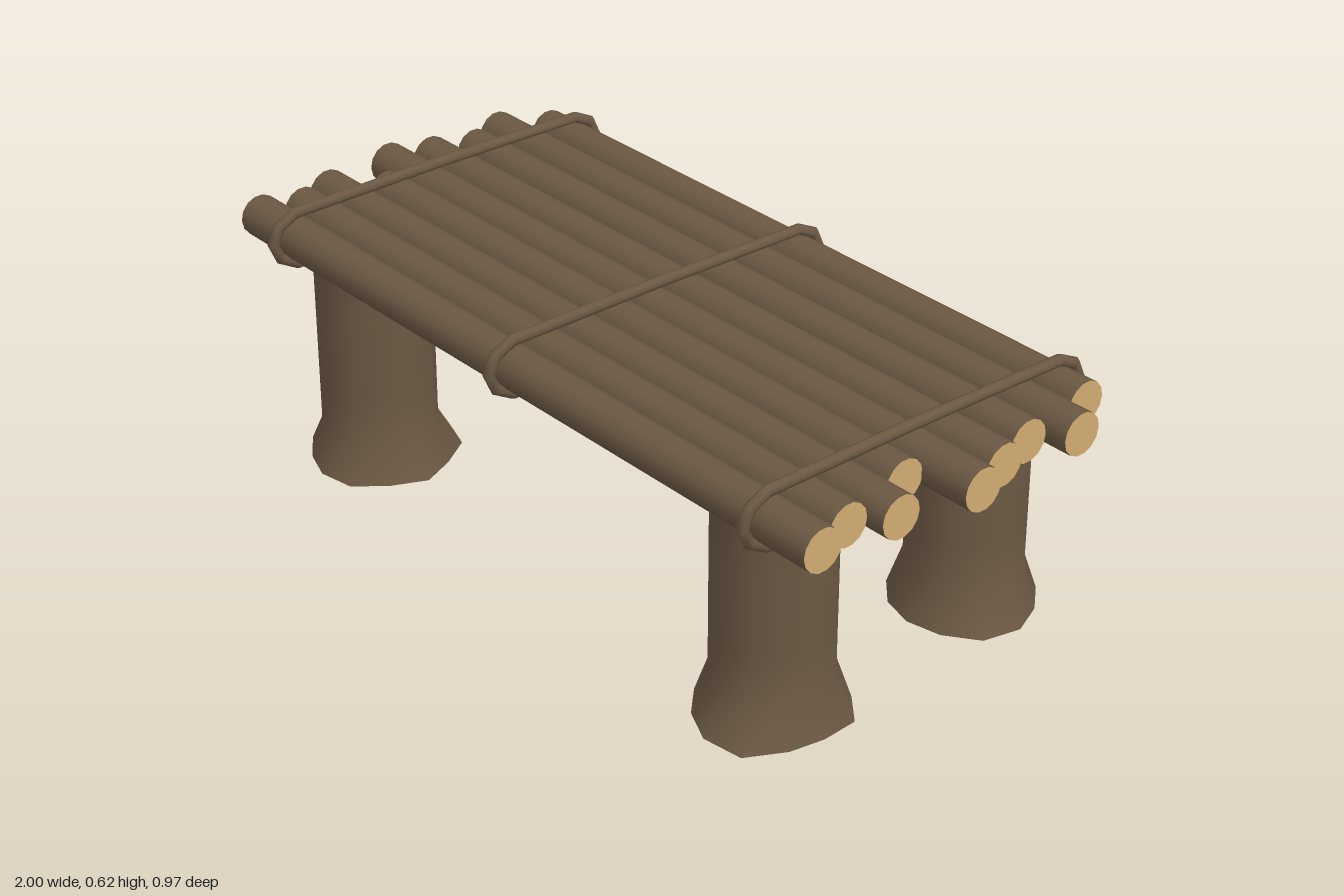
import * as THREE from 'three';
import { toCreasedNormals } from 'three/addons/utils/BufferGeometryUtils.js';

export function createModel() {
  const model = new THREE.Group();
  model.name = 'logTable';
  const mat = (name, color) => {
    const m = new THREE.MeshStandardMaterial({ color });
    m.name = name;
    return m;
  };
  const bark = mat('bark', 0x6b5843);
  const cutWood = mat('cutWood', 0xd0ab70);
  const add = (name, geometry, material) => {
    const mesh = new THREE.Mesh(geometry, material);
    mesh.name = name;
    model.add(mesh);
    return mesh;
  };

  // Table top: a row of logs of uneven length, [z, left end, right end]
  [
    [-0.404, -0.90, 0.89], [-0.302, -0.975, 0.975], [-0.198, -0.93, 0.925],
    [-0.092, -0.965, 0.96], [0.008, -1, 1], [0.104, -0.875, 0.875],
    [0.205, -0.97, 0.97], [0.304, -0.93, 0.925], [0.404, -0.96, 0.96],
  ].forEach(([z, x0, x1], i) => {
    const geo = new THREE.CylinderGeometry(0.05, 0.05, x1 - x0, 14);
    geo.rotateZ(-Math.PI / 2);
    add('topLog' + (i + 1), geo, [bark, cutWood, cutWood])
      .position.set((x0 + x1) / 2, 0.541, z);
  });

  // Legs: straight trunks whose lowest ring flares to an uneven root outline
  const legGeometry = (radii) => {
    const n = radii.length;
    const geo = new THREE.CylinderGeometry(0.136, 0.136, 0.5, n, 5);
    geo.translate(0, 0.25, 0);
    const p = geo.attributes.position;
    for (let i = 0; i < p.count; i++) {
      const x = p.getX(i), z = p.getZ(i);
      if (p.getY(i) > 0.01 || Math.hypot(x, z) < 0.01) continue;
      const k = Math.round((Math.atan2(x, z) / (2 * Math.PI)) * n + n) % n;
      const s = radii[k] / 0.136;
      p.setXYZ(i, x * s, 0, z * s);
    }
    return toCreasedNormals(geo, 0.8);
  };
  // [name, x, z, root radii running from +z through +x]
  [
    ['frontLeftLeg', 0.708, 0.297,
      [0.187, 0.2, 0.17, 0.162, 0.18, 0.17, 0.19, 0.18, 0.175, 0.165, 0.17, 0.17]],
    ['frontRightLeg', -0.665, 0.297,
      [0.172, 0.18, 0.17, 0.185, 0.17, 0.19, 0.197, 0.18, 0.17, 0.185, 0.18, 0.165]],
    ['backLeftLeg', 0.665, -0.3,
      [0.165, 0.17, 0.185, 0.18, 0.165, 0.17, 0.177, 0.165, 0.19, 0.19, 0.17, 0.165]],
    ['backRightLeg', -0.665, -0.3,
      [0.165, 0.165, 0.18, 0.185, 0.175, 0.165, 0.177, 0.17, 0.18, 0.185, 0.17, 0.17]],
  ].forEach(([name, x, z, radii]) => {
    add(name, legGeometry(radii), [bark, cutWood, cutWood]).position.set(x, 0, z);
  });

  // Bindings: closed loops of cord around the logs, as [z, y] outlines
  const half = [[0, 0.609], [0.41, 0.605], [0.455, 0.583], [0.473, 0.543],
    [0.455, 0.504], [0.41, 0.479], [0, 0.479]];
  const path = [...half, ...half.slice(1, -1).reverse().map(([z, y]) => [-z, y])]
    .map(([z, y]) => new THREE.Vector2(z, y));
  const cordGeometry = () => {
    const sides = 8, r = 0.0135, n = path.length, pos = [], idx = [];
    for (let i = 0; i < n; i++) {
      const a = path[i].clone().sub(path[(i + n - 1) % n]).normalize();
      const b = path[(i + 1) % n].clone().sub(path[i]).normalize();
      const t = a.add(b).normalize();
      for (let j = 0; j < sides; j++) {
        const ang = (j / sides) * Math.PI * 2, c = Math.cos(ang) * r;
        pos.push(Math.sin(ang) * r, path[i].y + t.x * c, path[i].x - t.y * c);
        const i2 = (i + 1) % n, j2 = (j + 1) % sides;
        const p = i * sides + j, q = i2 * sides + j;
        const u = i * sides + j2, v = i2 * sides + j2;
        idx.push(p, q, u, q, v, u);
      }
    }
    const geo = new THREE.BufferGeometry();
    geo.setAttribute('position', new THREE.Float32BufferAttribute(pos, 3));
    geo.setIndex(idx);
    geo.computeVertexNormals();
    return geo;
  };
  const cord = cordGeometry();
  [['rightCord', -0.803], ['middleCord', 0], ['leftCord', 0.805]].forEach(([name, x]) => {
    add(name, cord, bark).position.x = x;
  });

  return model;
}
